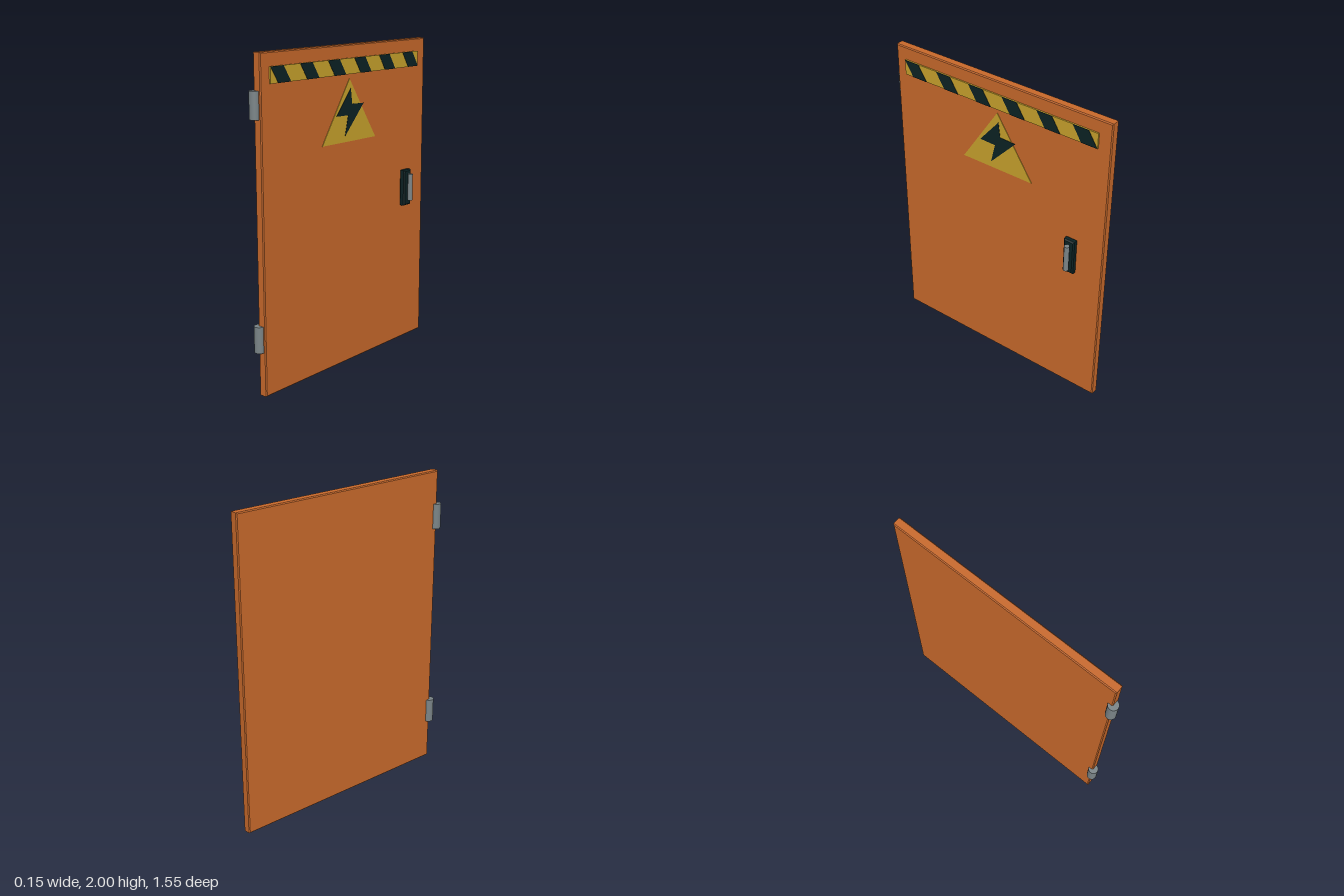
import * as THREE from 'three';

const mat = (name, color) => {
  const m = new THREE.MeshStandardMaterial({ color });
  m.name = name;
  return m;
};

export function createModel() {
  const orange = mat('orange paint', 0xc8692b);
  const yellow = mat('warning yellow', 0xc8a22c);
  const dark = mat('dark rubber', 0x0c2224);
  const steel = mat('steel', 0x7a8487);

  const door = new THREE.Group();
  door.name = 'door';

  const add = (name, geometry, material) => {
    const mesh = new THREE.Mesh(geometry, material);
    mesh.name = name;
    door.add(mesh);
    return mesh;
  };

  // Outline given as [z, y], extruded along x from x0 to x1 with chamfered edges
  const plate = (name, points, x0, x1, material, bevel = 0) => {
    const shape = new THREE.Shape(points.map(([z, y]) => new THREE.Vector2(-z, y)));
    const geometry = new THREE.ExtrudeGeometry(shape, {
      depth: x1 - x0 - 2 * bevel,
      bevelEnabled: bevel > 0,
      bevelSize: bevel,
      bevelThickness: bevel,
      bevelOffset: -bevel,
      bevelSegments: 1,
    });
    geometry.rotateY(Math.PI / 2).translate(x0 + bevel, 0, 0);
    return add(name, geometry, material);
  };
  const rect = (z0, z1, y0, y1) => [[z0, y0], [z1, y0], [z1, y1], [z0, y1]];

  const rod = (name, radius, x, z, y0, y1) => {
    const geometry = new THREE.CylinderGeometry(radius, radius, y1 - y0, 24);
    add(name, geometry, steel).position.set(x, (y0 + y1) / 2, z);
  };

  // Door slab
  plate('doorPanel', rect(0.743, -0.773, 0, 2), -0.055, 0, orange, 0.006);

  // Hinge barrels
  rod('lowerHinge', 0.032, -0.047, 0.743, 0.27, 0.43);
  rod('upperHinge', 0.032, -0.047, 0.743, 1.63, 1.79);

  // Hazard band with slanted stripes
  const y0 = 1.824, y1 = 1.919;
  plate('hazardBand', rect(0.673, -0.692, y0, y1), 0, 0.0095, yellow);
  for (let i = 0; i < 6; i++) {
    const z = 0.672 - i * 0.24;
    plate('hazardStripe', [[z - 0.06, y0], [z - 0.163, y0], [z - 0.103, y1], [z, y1]],
      0.0095, 0.0115, dark);
  }

  // Warning triangle and lightning bolt
  plate('warningTriangle', [[0.239, 1.416], [-0.261, 1.416], [-0.011, 1.797]], 0, 0.003, yellow);
  plate('lightningBolt', [
    [-0.021, 1.738], [0.111, 1.58], [0.003, 1.577],
    [0.032, 1.453], [-0.143, 1.638], [-0.034, 1.642],
  ], 0.003, 0.005, dark);

  // Handle
  plate('handlePlate', rect(-0.525, -0.598, 0.925, 1.16), 0, 0.04, dark, 0.008);
  rod('handleGrip', 0.016, 0.059, -0.563, 0.96, 1.135);

  return door;
}
